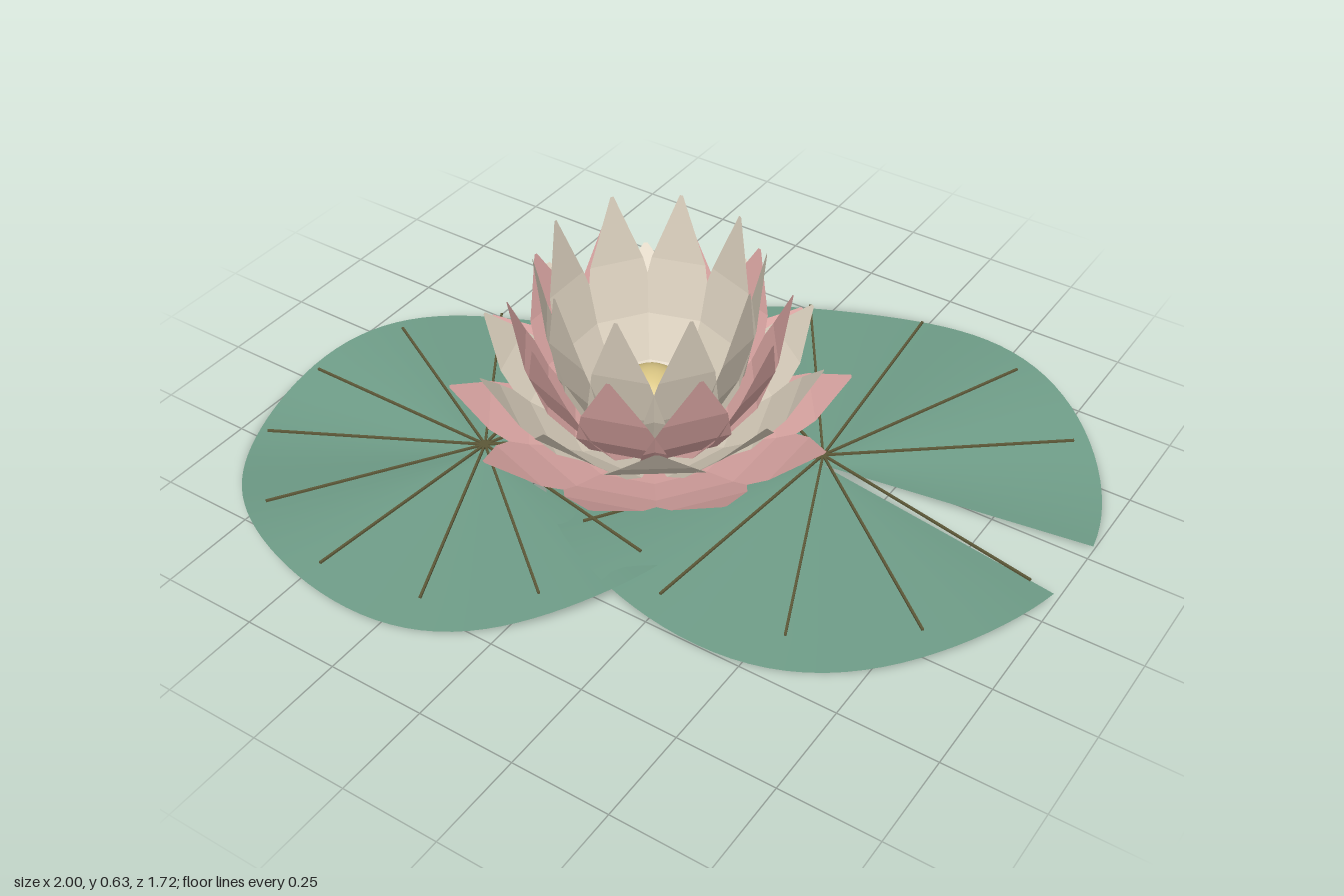
import * as THREE from 'three';

const mat = (name, color, side = THREE.FrontSide) => {
  const m = new THREE.MeshStandardMaterial({ color, side });
  m.name = name;
  return m;
};

// Floating leaf: notched disc whose rim rises and falls four times
function padGeometry(radius) {
  const gap = 0.165;
  const geo = new THREE.RingGeometry(0.001, radius, 96, 6, gap, Math.PI * 2 - gap * 2);
  geo.rotateX(-Math.PI / 2);
  const p = geo.attributes.position;
  for (let i = 0; i < p.count; i++) {
    const x = p.getX(i), z = p.getZ(i);
    const f = Math.hypot(x, z) / radius;
    p.setY(i, 0.022 + 0.022 * f * Math.sin(4 * Math.atan2(z, x)));
  }
  geo.computeVertexNormals();
  return geo;
}

// Petal: straight across, curving upwards along its length, with a pointed tip
function petalGeometry({ reach, top, bendR, bendY, half }) {
  const curve = new THREE.QuadraticBezierCurve(
    new THREE.Vector2(0.02, 0.1), new THREE.Vector2(bendR, bendY), new THREE.Vector2(reach, top));
  const widths = [0.25, 0.6, 0.9, 1, 0.72, 0.04];
  const rows = widths.length - 1;
  const geo = new THREE.PlaneGeometry(1, 1, 1, rows);
  const p = geo.attributes.position;
  for (let i = 0; i < p.count; i++) {
    const row = Math.round((p.getY(i) + 0.5) * rows);
    const c = curve.getPoint(row / rows);
    p.setXYZ(i, c.x, c.y, -p.getX(i) * 2 * half * widths[row]);
  }
  const flat = geo.toNonIndexed();
  flat.computeVertexNormals();
  return flat;
}

export function createModel() {
  const model = new THREE.Group();
  model.name = 'waterLily';
  const leafGreen = mat('leaf green', 0x6f9d88, THREE.DoubleSide);
  const veinBrown = mat('vein brown', 0x5c5838);
  const pink = mat('petal pink', 0xdba6a3, THREE.DoubleSide);
  const cream = mat('petal cream', 0xdbd0be, THREE.DoubleSide);
  const yellow = mat('centre yellow', 0xd9c583);

  const add = (parent, name, geo, material) => {
    const mesh = new THREE.Mesh(geo, material);
    mesh.name = name;
    parent.add(mesh);
    return mesh;
  };

  // Two leaves, each with twelve straight veins fanning from the notch
  const pads = [['leftPad', 0.32, -0.175, 0.686], ['rightPad', -0.4, 0.255, 0.6]];
  for (const [name, x, z, radius] of pads) {
    const pad = new THREE.Group();
    pad.name = name;
    pad.position.set(x, 0, z);
    add(pad, 'leaf', padGeometry(radius), leafGreen);
    const veinGeo = new THREE.BoxGeometry(radius * 0.92, 0.005, 0.006);
    veinGeo.translate(radius * 0.46, 0.055, 0);
    for (let i = 0; i < 12; i++) {
      const vein = add(pad, 'vein', veinGeo, veinBrown);
      vein.rotation.y = -THREE.MathUtils.degToRad(11 + i * 28.2);
    }
    model.add(pad);
  }

  // Flower: four rings of ten petals, outermost first, growing steeper inwards
  const flower = new THREE.Group();
  flower.name = 'flower';
  flower.position.set(-0.045, 0, 0.04);
  const rings = [
    { name: 'outerPetal', material: pink, turn: 0, reach: 0.485, top: 0.268, bendR: 0.25, bendY: 0.1, half: 0.13 },
    { name: 'lowerPetal', material: cream, turn: 0.5, reach: 0.42, top: 0.388, bendR: 0.26, bendY: 0.12, half: 0.12 },
    { name: 'upperPetal', material: pink, turn: 0, reach: 0.335, top: 0.512, bendR: 0.26, bendY: 0.13, half: 0.11 },
    { name: 'innerPetal', material: cream, turn: 0, reach: 0.27, top: 0.632, bendR: 0.22, bendY: 0.15, half: 0.095 },
  ];
  for (const ring of rings) {
    const geo = petalGeometry(ring);
    for (let i = 0; i < 10; i++) {
      const petal = add(flower, ring.name, geo, ring.material);
      petal.rotation.y = (i + ring.turn) * Math.PI / 5;
    }
  }
  const centre = add(flower, 'flowerCentre', new THREE.SphereGeometry(0.092, 24, 16), yellow);
  centre.position.y = 0.21;
  model.add(flower);

  return model;
}
